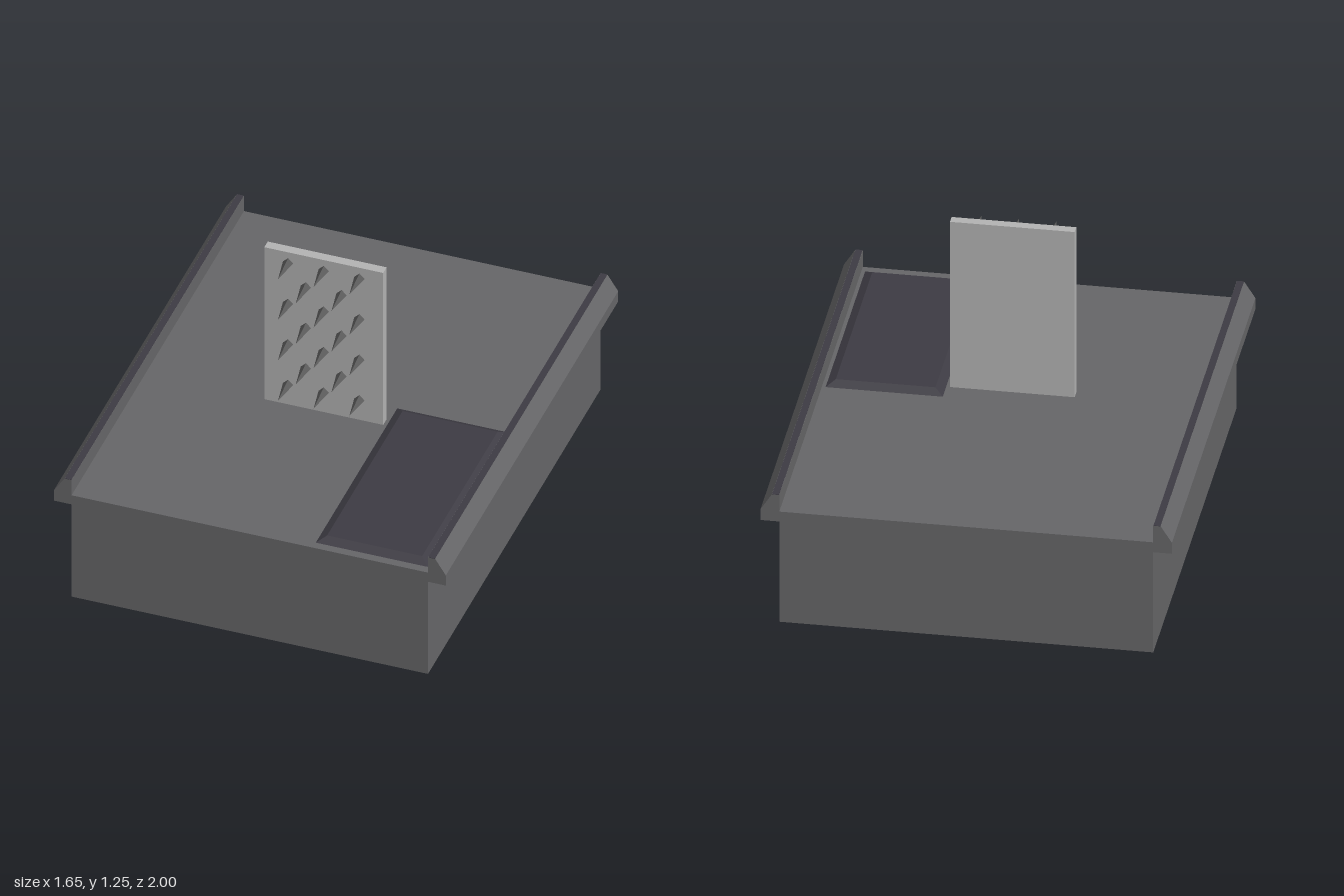
import * as THREE from 'three';

export function createModel() {
  const model = new THREE.Group();
  const material = (name, color) => {
    const m = new THREE.MeshStandardMaterial({ color });
    m.name = name;
    return m;
  };
  const grey = material('mid grey', 0x666668);
  const pale = material('pale grey', 0xb3b3b3);
  const steel = material('spike grey', 0x565656);
  const dark = material('dark slate', 0x3d3b43);

  const add = (name, geometry, mat, x = 0, y = 0, z = 0) => {
    const mesh = new THREE.Mesh(geometry, mat);
    mesh.name = name;
    mesh.position.set(x, y, z);
    model.add(mesh);
    return mesh;
  };

  // Solid floor block
  add('base', new THREE.BoxGeometry(1.5, 0.5, 2), grey, 0, 0.25, 0);

  // Side rails with a sloped outer edge and a dark cap
  for (const [side, s] of [['left', 1], ['right', -1]]) {
    const profile = new THREE.Shape(
      [[0.75, 0.455], [0.825, 0.455], [0.825, 0.505], [0.78, 0.575], [0.75, 0.575]]
        .map(([x, y]) => new THREE.Vector2(s * x, y)));
    const rail = new THREE.ExtrudeGeometry(profile, { depth: 2, bevelEnabled: false });
    add(side + 'Rail', rail, grey, 0, 0, -1);
    add(side + 'RailCap', new THREE.BoxGeometry(0.028, 0.002, 2), dark, s * 0.765, 0.5755, 0);
  }

  // Upright board
  add('spikeBoard', new THREE.BoxGeometry(0.5, 0.75, 0.04), pale, 0, 0.875, 0.122);

  // Staggered rows of four-sided spikes pointing forward
  const spike = new THREE.ConeGeometry(0.022, 0.12, 4).toNonIndexed();
  spike.computeVertexNormals();
  spike.rotateX(Math.PI / 2);
  for (let row = 0; row < 7; row++) {
    const columns = row % 2 ? [-0.075, 0.075] : [-0.15, 0, 0.15];
    for (const x of columns) add('spike', spike, steel, x, 0.6 + row * 0.1, 0.2);
  }

  // Low floor panel with bevelled edges: the top corners are pulled inwards
  const panel = new THREE.BoxGeometry(0.47, 0.02, 0.945).toNonIndexed();
  const p = panel.attributes.position;
  for (let i = 0; i < p.count; i++) {
    if (p.getY(i) > 0) {
      p.setX(i, p.getX(i) - Math.sign(p.getX(i)) * 0.035);
      p.setZ(i, p.getZ(i) - Math.sign(p.getZ(i)) * 0.035);
    }
  }
  panel.computeVertexNormals();
  add('floorPanel', panel, dark, 0.5, 0.51, 0.4925);

  return model;
}
